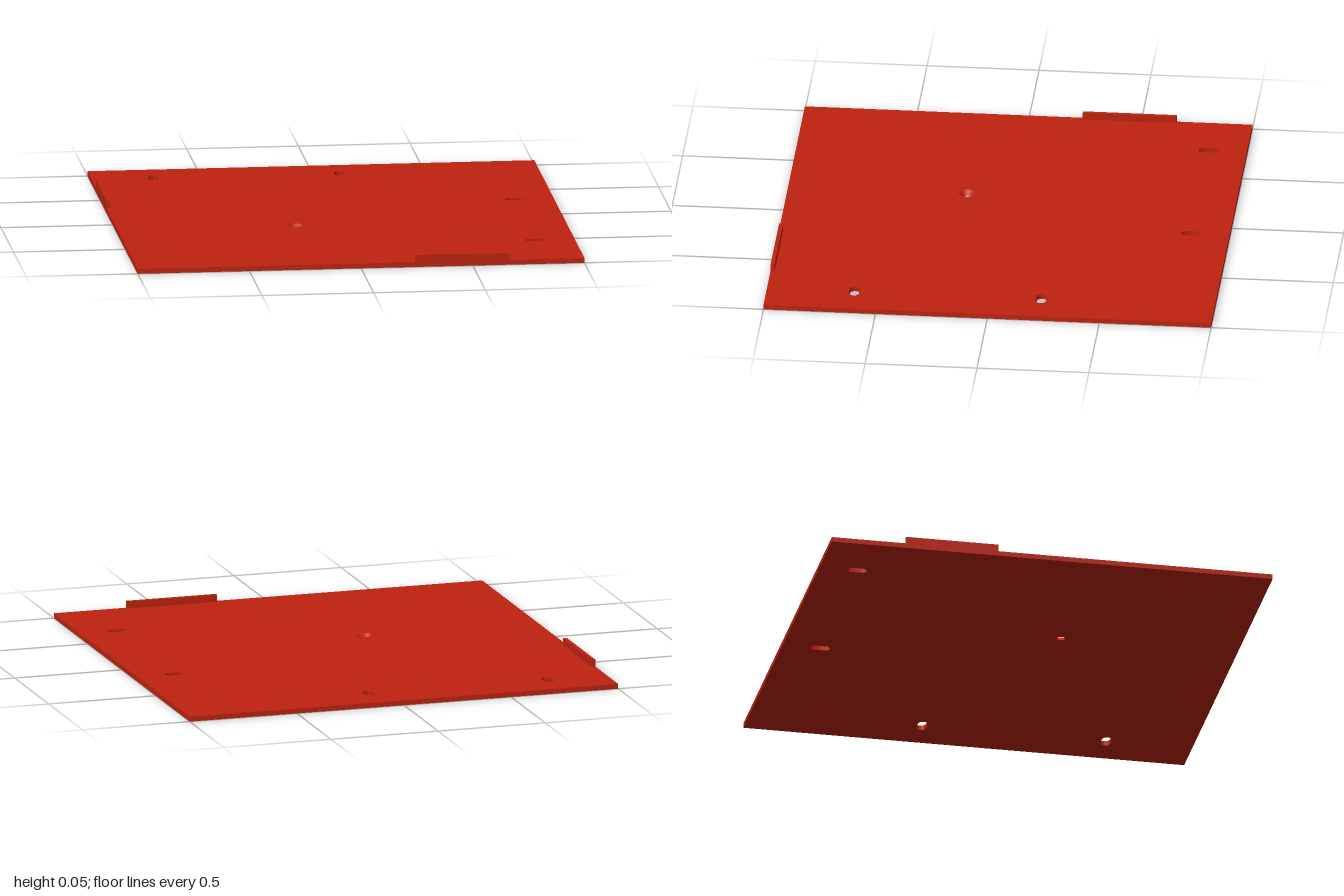
import * as THREE from 'three';
import { toCreasedNormals } from 'three/addons/utils/BufferGeometryUtils.js';

const T = 0.022;        // plate thickness
const LIP_TOP = 0.054;  // height of the raised edge lips
const LIP = 0.018;      // lip thickness
const SLOT_R = 0.022, SLOT_HALF = 0.022;
const SINK_R = 0.037, BORE_R = 0.018;

// Rounded slot outline; alongZ turns its long axis to z
function slot(x, z, alongZ) {
  const p = new THREE.Path();
  const a = alongZ ? Math.PI / 2 : 0;
  const dx = alongZ ? 0 : SLOT_HALF, dz = alongZ ? SLOT_HALF : 0;
  p.absarc(x + dx, z + dz, SLOT_R, a - Math.PI / 2, a + Math.PI / 2, false);
  p.absarc(x - dx, z - dz, SLOT_R, a + Math.PI / 2, a + Math.PI * 1.5, false);
  p.closePath();
  return p;
}

export function createModel() {
  const model = new THREE.Group();
  model.name = 'mountingPlate';
  const red = new THREE.MeshStandardMaterial({ color: 0xbf2310 });
  red.name = 'red';

  const add = (name, geometry, x = 0, y = 0, z = 0) => {
    const mesh = new THREE.Mesh(geometry, red);
    mesh.name = name;
    mesh.position.set(x, y, z);
    model.add(mesh);
  };

  // Square plate with four slots and a screw hole
  const outline = new THREE.Shape();
  outline.moveTo(-1, -1).lineTo(1, -1).lineTo(1, 1).lineTo(-1, 1).closePath();
  const screwX = -0.2, screwZ = 0.2;
  outline.holes.push(
    slot(-0.725, -0.83, true),
    slot(0.11, -0.83, true),
    slot(0.825, -0.225, false),
    slot(0.825, 0.61, false),
    new THREE.Path().absarc(screwX, screwZ, SINK_R, 0, Math.PI * 2, false),
  );
  const plate = new THREE.ExtrudeGeometry(outline, { depth: T, bevelEnabled: false, curveSegments: 16 });
  plate.rotateX(Math.PI / 2).translate(0, T, 0);
  add('plate', toCreasedNormals(plate, 0.6));

  // Conical countersink inside the screw hole
  const sink = new THREE.LatheGeometry([
    new THREE.Vector2(SINK_R, T),
    new THREE.Vector2(BORE_R, 0),
    new THREE.Vector2(SINK_R, 0),
  ], 32);
  add('countersink', toCreasedNormals(sink, 0.6), screwX, 0, screwZ);

  // Raised lips on the front and right edges
  const length = 0.42, height = LIP_TOP - T;
  const y = T + height / 2;
  add('frontLip', new THREE.BoxGeometry(length, height, LIP), 0.453, y, 1 - LIP / 2);
  add('rightLip', new THREE.BoxGeometry(LIP, height, length), -1 + LIP / 2, y, -0.453);

  return model;
}
